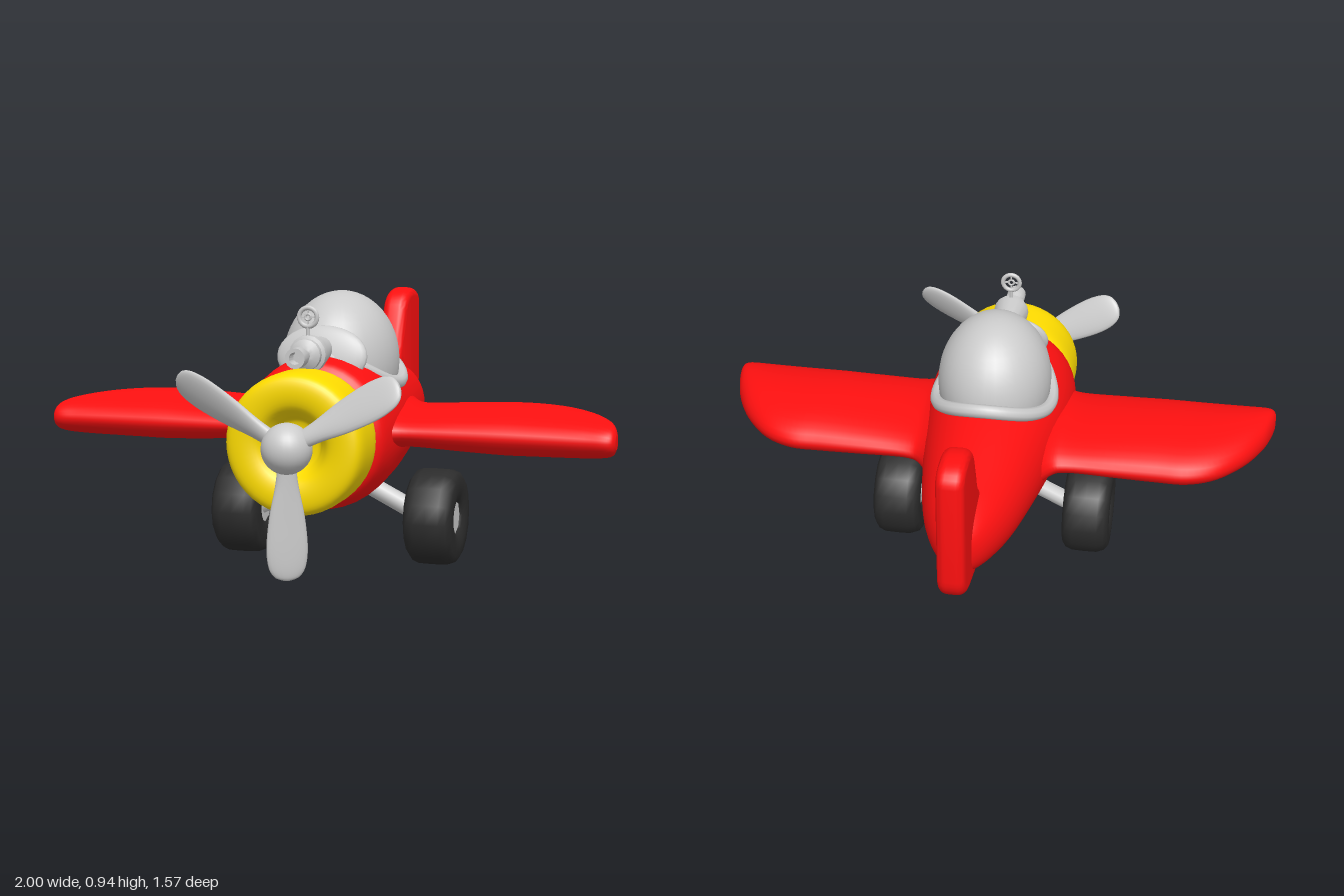
import * as THREE from 'three';
import { toCreasedNormals } from 'three/addons/utils/BufferGeometryUtils.js';

const paint = (color) => new THREE.MeshStandardMaterial({ color });
const red = paint(0xff1010), yellow = paint(0xffdd00), grey = paint(0xcccccc), rubber = paint(0x2c2c2c);

function add(parent, name, geometry, material, x = 0, y = 0, z = 0) {
  const mesh = new THREE.Mesh(geometry, material);
  mesh.name = name;
  mesh.position.set(x, y, z);
  parent.add(mesh);
  return mesh;
}

// Smoothly resample a short list of numeric stations
function resample(stations, steps) {
  const last = stations.length - 1;
  return Array.from({ length: steps + 1 }, (_, k) => {
    const t = (k / steps) * last, i = Math.min(Math.floor(t), last - 1), f = t - i;
    const at = (n) => stations[Math.max(0, Math.min(last, n))];
    return stations[0].map((_, c) => {
      const p0 = at(i - 1)[c], p1 = at(i)[c], p2 = at(i + 1)[c], p3 = at(i + 2)[c];
      return p1 + 0.5 * f * (p2 - p0 + f * (2 * p0 - 5 * p1 + 4 * p2 - p3 + f * (3 * (p1 - p2) + p3 - p0)));
    });
  });
}

// Closed skin over elliptical rings; ringPoint(station, angle) gives [x, y, z]
function loft(stations, steps, sides, ringPoint) {
  const rings = resample(stations, steps), pos = [], idx = [];
  for (const s of rings)
    for (let j = 0; j < sides; j++) pos.push(...ringPoint(s, (j / sides) * Math.PI * 2));
  for (let i = 0; i < steps; i++)
    for (let j = 0; j < sides; j++) {
      const k = (j + 1) % sides;
      const a = i * sides + j, b = i * sides + k, c = b + sides, d = a + sides;
      idx.push(a, d, b, b, d, c);
    }
  // End caps
  [0, steps].forEach((i) => {
    const centre = pos.length / 3, base = i * sides;
    const p = ringPoint(rings[i], 0), q = ringPoint(rings[i], Math.PI);
    pos.push(...p.map((v, c) => (v + q[c]) / 2));
    for (let j = 0; j < sides; j++) {
      const a = base + j, b = base + ((j + 1) % sides);
      idx.push(centre, ...(i === 0 ? [a, b] : [b, a]));
    }
  });
  const geometry = new THREE.BufferGeometry();
  geometry.setAttribute('position', new THREE.Float32BufferAttribute(pos, 3));
  geometry.setIndex(idx);
  geometry.computeVertexNormals();
  return geometry;
}

// Turned part whose axis runs along z
function turned(profile, segments) {
  const points = profile.map(([r, z]) => new THREE.Vector2(r, z));
  return new THREE.LatheGeometry(points, segments).rotateX(Math.PI / 2);
}

function addBody(plane) {
  // z, centre height, half width, half height
  const body = [
    [0.46, 0.485, 0.22, 0.22], [0.43, 0.485, 0.25, 0.25], [0.34, 0.481, 0.265, 0.265],
    [0.2, 0.483, 0.262, 0.258], [0, 0.48, 0.238, 0.232], [-0.2, 0.48, 0.205, 0.2],
    [-0.4, 0.48, 0.165, 0.162], [-0.52, 0.484, 0.128, 0.136], [-0.6, 0.487, 0.088, 0.11],
    [-0.645, 0.489, 0.045, 0.075], [-0.66, 0.49, 0.01, 0.03],
  ];
  add(plane, 'fuselage', loft(body, 50, 40,
    ([z, cy, w, h], a) => [w * Math.cos(a), cy + h * Math.sin(a), z]), red);

  // Tail fin, drawn in (z, y) and inset by the bevel
  const fin = new THREE.Shape();
  fin.moveTo(-0.44, 0.40);
  fin.lineTo(-0.44, 0.59);
  fin.quadraticCurveTo(-0.52, 0.62, -0.545, 0.72);
  fin.lineTo(-0.58, 0.81);
  fin.quadraticCurveTo(-0.6, 0.86, -0.67, 0.865);
  fin.quadraticCurveTo(-0.75, 0.865, -0.75, 0.83);
  fin.lineTo(-0.75, 0.47);
  fin.quadraticCurveTo(-0.75, 0.41, -0.67, 0.393);
  fin.lineTo(-0.56, 0.375);
  fin.closePath();
  const finGeometry = new THREE.ExtrudeGeometry(fin, {
    depth: 0.03, bevelThickness: 0.032, bevelSize: 0.03, bevelSegments: 6, curveSegments: 8,
  }).translate(0, 0, -0.015).rotateY(-Math.PI / 2);
  add(plane, 'tailFin', toCreasedNormals(finGeometry, 0.7), red);

  // Wings: x, rear z, front z, half thickness
  const wing = [
    [0.17, -0.24, 0.45, 0.12], [0.23, -0.14, 0.405, 0.082], [0.29, -0.112, 0.377, 0.068],
    [0.45, -0.11, 0.372, 0.077], [0.6, -0.11, 0.372, 0.084], [0.71, -0.107, 0.372, 0.083],
    [0.81, -0.06, 0.372, 0.079], [0.9, 0.04, 0.372, 0.071], [0.96, 0.15, 0.372, 0.06],
    [0.988, 0.235, 0.363, 0.046], [1, 0.29, 0.345, 0.024],
  ];
  for (const s of [1, -1])
    add(plane, s > 0 ? 'leftWing' : 'rightWing', loft(wing, 50, 32, ([x, back, front, h], a) => [
      s * x, 0.49 + h * Math.cos(a), (back + front) / 2 - s * ((front - back) / 2) * Math.sin(a),
    ]), red);
}

function addNose(plane) {
  // Engine ring with a dished front
  const cowl = resample([
    [0.18, 0.452], [0.215, 0.457], [0.234, 0.485], [0.237, 0.56], [0.234, 0.63], [0.215, 0.66],
    [0.17, 0.667], [0.125, 0.655], [0.095, 0.62], [0.07, 0.59], [0.001, 0.585],
  ], 40);
  add(plane, 'engineCowl', turned(cowl, 48), yellow, 0, 0.482, 0);

  const propeller = new THREE.Group();
  propeller.name = 'propeller';
  propeller.position.set(0, 0.482, 0.703);
  plane.add(propeller);
  add(propeller, 'propellerHub', new THREE.SphereGeometry(0.084, 28, 20), grey);
  // Radius, half width, half thickness
  const blade = loft([
    [0.05, 0.03, 0.024], [0.12, 0.038, 0.021], [0.22, 0.058, 0.019], [0.32, 0.068, 0.018],
    [0.385, 0.062, 0.016], [0.42, 0.043, 0.012], [0.433, 0.015, 0.006],
  ], 30, 20, ([r, w, t], a) => [r, w * Math.cos(a), -t * Math.sin(a)]).rotateX(-0.5);
  for (let i = 0; i < 3; i++)
    add(propeller, 'propellerBlade', blade, grey).rotation.z = Math.PI / 6 + (i * Math.PI * 2) / 3;
}

function addCockpit(plane) {
  add(plane, 'canopy', new THREE.SphereGeometry(1, 32, 24).scale(0.2, 0.245, 0.238), grey, 0, 0.7, 0.115);

  // Saddle-shaped rim that follows the body
  const path = Array.from({ length: 24 }, (_, i) => {
    const t = (i / 24) * Math.PI * 2, c = Math.cos(t);
    return new THREE.Vector3(0.204 * Math.sin(t), 0.632 + (c > 0 ? 0.11 : 0.085) * c * c, 0.108 + 0.245 * c);
  });
  add(plane, 'canopyRim',
    new THREE.TubeGeometry(new THREE.CatmullRomCurve3(path, true), 96, 0.024, 10, true), grey);

  // Gun mount shield
  add(plane, 'gunShield', new THREE.SphereGeometry(1, 28, 16).scale(0.16, 0.105, 0.035), grey, 0, 0.74, 0.335)
    .rotation.x = -0.25;

  // Gun body and flared muzzle
  const gun = turned([
    [0.001, 0.3], [0.042, 0.3], [0.046, 0.38], [0.063, 0.465], [0.063, 0.49], [0.052, 0.495],
    [0.052, 0.515], [0.035, 0.525], [0.022, 0.53], [0.022, 0.55], [0.034, 0.575], [0.034, 0.62],
    [0.02, 0.62], [0.018, 0.58], [0.001, 0.58],
  ], 16);
  add(plane, 'gun', toCreasedNormals(gun, 0.5), grey, 0, 0.763, 0);

  // Ring sight
  add(plane, 'sightPost', new THREE.CylinderGeometry(0.007, 0.007, 0.05, 8), grey, 0, 0.83, 0.482);
  add(plane, 'sightRing', new THREE.TorusGeometry(0.031, 0.008, 8, 24), grey, 0, 0.885, 0.482);
  add(plane, 'sightBead', new THREE.TorusGeometry(0.01, 0.004, 6, 12), grey, 0, 0.885, 0.482);
  for (let i = 0; i < 4; i++) {
    const a = (i * Math.PI) / 2;
    add(plane, 'sightSpoke', new THREE.BoxGeometry(0.02, 0.005, 0.005), grey,
      0.02 * Math.cos(a), 0.885 + 0.02 * Math.sin(a), 0.482).rotation.z = a;
  }
}

function addLandingGear(plane) {
  const half = [[0.055, 0.06], [0.062, 0.076], [0.1, 0.085], [0.14, 0.083], [0.158, 0.07], [0.168, 0.045]];
  const profile = [...half.map(([r, w]) => [r, -w]), [0.169, 0], ...half.slice().reverse()];
  const tyre = turned(profile, 16).rotateY(Math.PI / 2);
  const hub = new THREE.CylinderGeometry(0.057, 0.057, 0.136, 8).rotateZ(Math.PI / 2);
  for (const s of [1, -1]) {
    const side = s > 0 ? 'left' : 'right';
    add(plane, side + 'Tyre', tyre, rubber, s * 0.35, 0.169, 0.13);
    add(plane, side + 'WheelHub', hub, grey, s * 0.35, 0.169, 0.13);
    // Strut from wheel to belly
    const from = new THREE.Vector3(s * 0.31, 0.165, 0.13), to = new THREE.Vector3(s * 0.06, 0.29, 0.13);
    const dir = to.clone().sub(from);
    const strut = add(plane, side + 'Strut', new THREE.CylinderGeometry(0.033, 0.033, dir.length(), 10), grey);
    strut.position.copy(from).lerp(to, 0.5);
    strut.quaternion.setFromUnitVectors(new THREE.Vector3(0, 1, 0), dir.normalize());
  }
}

export function createModel() {
  const plane = new THREE.Group();
  plane.name = 'toyAirplane';
  addBody(plane);
  addNose(plane);
  addCockpit(plane);
  addLandingGear(plane);
  return plane;
}
